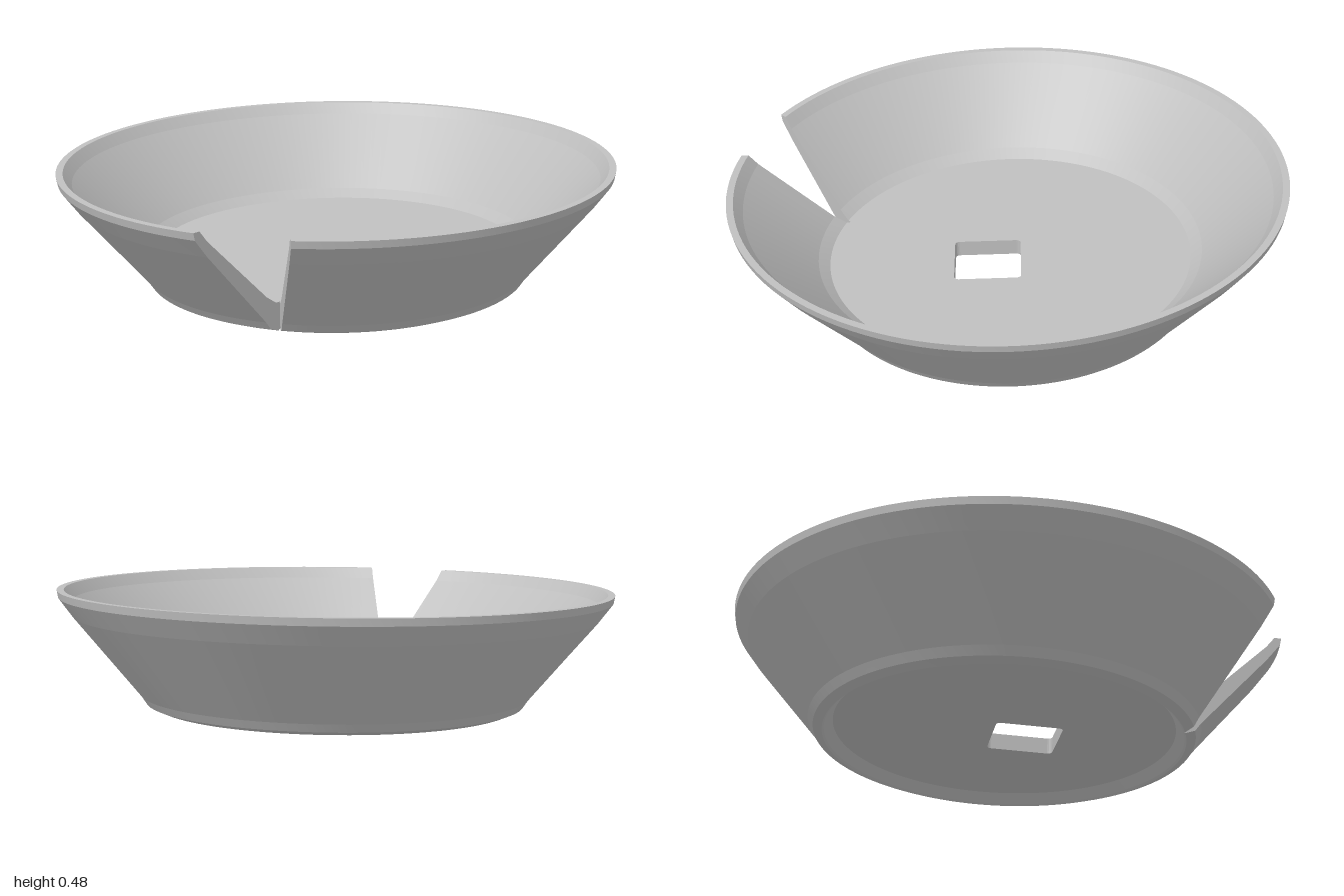
import * as THREE from 'three';

const NOTCH_Z = 0.645;             // apex of the wedge-shaped cut
const BETA = Math.atan(0.468);     // half angle of the cut
const FLOOR_R = 0.66, FLOOR_Y = 0.1, RECESS_Y = 0.04;

// Angle from the front at which a circle of radius r meets the cut
const cutAngle = (r) =>
  r <= NOTCH_Z ? 0 : BETA - Math.asin((NOTCH_Z * Math.sin(BETA)) / r);

// Wall cross-section (radius, height): recess, foot, outside, rim, inside
const profile = [
  [0.615, RECESS_Y], [NOTCH_Z, 0.006], [0.652, 0], [0.685, 0.014], [0.705, 0.044],
  [0.945, 0.33], [0.995, 0.397], [1, 0.423], [0.975, 0.423],
  [0.945, 0.383], [0.7, 0.13], [FLOOR_R, FLOOR_Y],
].map(([r, y]) => new THREE.Vector2(r, y));

// One band of the wall, swept from one side of the cut to the other
function band(p, q) {
  const g = new THREE.LatheGeometry([p, q], 128);
  const pos = g.attributes.position, uv = g.attributes.uv;
  for (let i = 0; i < pos.count; i++) {
    const r = Math.hypot(pos.getX(i), pos.getZ(i));
    const a0 = cutAngle(r);
    const a = a0 + uv.getX(i) * (2 * Math.PI - 2 * a0);
    pos.setXYZ(i, r * Math.sin(a), pos.getY(i), r * Math.cos(a));
  }
  g.computeVertexNormals();
  return g;
}

// Flat face where the cut goes through the wall
function cutFace() {
  const outline = [...profile.slice(1), new THREE.Vector2(NOTCH_Z, FLOOR_Y)];
  const g = new THREE.ShapeGeometry(new THREE.Shape(outline));
  const pos = g.attributes.position;
  for (let i = 0; i < pos.count; i++) {
    const r = pos.getX(i), a = cutAngle(r);
    pos.setXYZ(i, r * Math.sin(a), pos.getY(i), r * Math.cos(a));
  }
  g.computeVertexNormals();
  return g;
}

// Square hole with small rounded corners, turned and off centre
function squareHole(cx, cz, half, turn, round) {
  const pts = [];
  for (let c = 0; c < 4; c++) {
    const base = (c * Math.PI) / 2;
    const d = (half - round) * Math.SQRT2;
    const m = base + Math.PI / 4 + turn;
    for (let s = 0; s <= 4; s++) {
      const a = base + (s / 4) * (Math.PI / 2) + turn;
      pts.push(new THREE.Vector2(
        cx + d * Math.cos(m) + round * Math.cos(a),
        -cz + d * Math.sin(m) + round * Math.sin(a)));
    }
  }
  return new THREE.Path(pts);
}

// Floor slab with the tip of the cut and the square hole
function floorSlab() {
  const a0 = cutAngle(FLOOR_R), pts = [new THREE.Vector2(0, -NOTCH_Z)];
  for (let i = 0; i <= 128; i++) {
    const a = a0 + (i / 128) * (2 * Math.PI - 2 * a0);
    pts.push(new THREE.Vector2(FLOOR_R * Math.sin(a), -FLOOR_R * Math.cos(a)));
  }
  const shape = new THREE.Shape(pts);
  shape.holes.push(squareHole(0.073, 0.06, 0.121, 0.37, 0.016));
  const g = new THREE.ExtrudeGeometry(shape, { depth: FLOOR_Y - RECESS_Y, bevelEnabled: false });
  g.rotateX(-Math.PI / 2);
  g.translate(0, RECESS_Y, 0);
  return g;
}

export function createModel() {
  const model = new THREE.Group();
  model.name = 'notchedDish';
  const grey = new THREE.MeshStandardMaterial({ color: 0xbfbfbf });
  grey.name = 'grey';

  const dish = new THREE.Group();
  dish.name = 'dish';
  const add = (name, geometry, parent = dish) => {
    const mesh = new THREE.Mesh(geometry, grey);
    mesh.name = name;
    parent.add(mesh);
    return mesh;
  };

  // Wall
  const wall = new THREE.Group();
  wall.name = 'wall';
  for (let i = 0; i < profile.length - 1; i++) {
    add('wallBand', band(profile[i], profile[i + 1]), wall);
  }
  dish.add(wall);

  // Both sides of the cut
  add('leftCutFace', cutFace());
  add('rightCutFace', cutFace()).scale.x = -1;

  // Floor
  add('floor', floorSlab());

  // The whole dish leans slightly forward
  dish.rotation.x = 0.0365;
  dish.position.set(0, 0.024, -0.0155);
  model.add(dish);
  return model;
}
